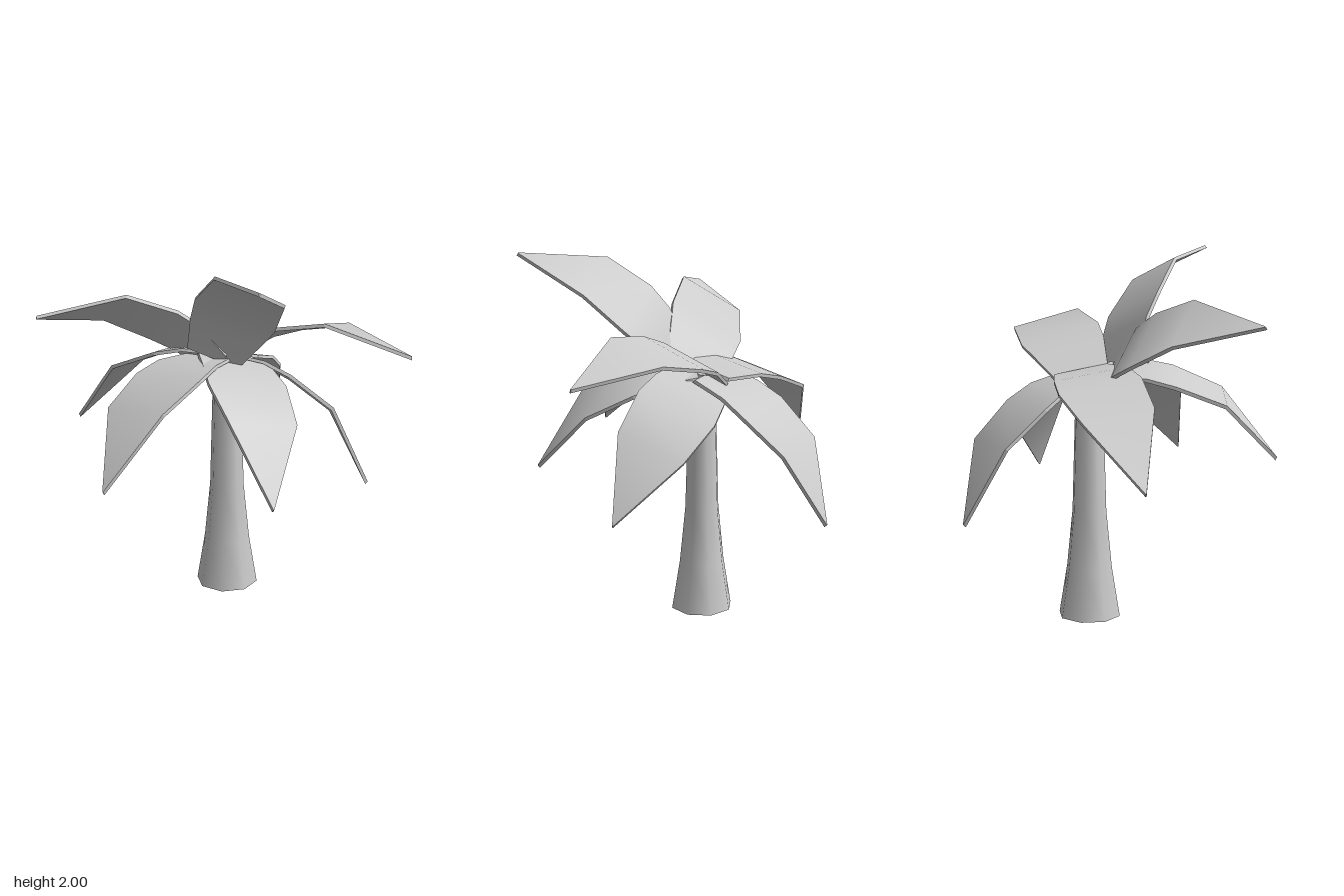
import * as THREE from 'three';
import { mergeGeometries } from 'three/addons/utils/BufferGeometryUtils.js';

const material = new THREE.MeshStandardMaterial({ color: 0xcccccc, side: THREE.DoubleSide });

// Leaf cross-sections: [distance along chord, bulge above chord, half width]
const SECTIONS = [
  [0, 0, 0.15], [0.183, 0.102, 0.205], [0.34, 0.142, 0.228], [0.631, 0.169, 0.195], [1.054, 0, 0.003],
];
const THICKNESS = 0.02;

// Each leaf: base centre, tip, direction across the blade
const LEAVES = [
  [[-0.04, 1.375, -0.145], [0.98, 1.48, 0.10], [0.12, -0.11, -0.42]],
  [[-0.09, 1.42, 0.07], [0.28, 2.0, 0.86], [0.37, -0.17, -0.075]],
  [[-0.09, 1.36, -0.01], [-0.98, 1.69, 0.39], [0.2, 0.22, 0.28]],
  [[-0.03, 1.37, -0.15], [-0.04, 0.61, -0.87], [1, 0, 0.05]],
  [[-0.035, 1.39, -0.15], [-0.96, 0.9, -0.30], [-0.09, 0.06, 0.37]],
  [[-0.12, 1.39, -0.04], [-0.54, 0.89, 0.81], [0.33, 0.04, 0.2]],
  [[-0.06, 1.39, -0.06], [0.34, 0.82, 0.73], [0.31, -0.06, -0.2]],
  [[-0.04, 1.37, -0.13], [0.76, 0.71, 0.0], [-0.05, -0.13, -0.36]],
];

function buildGeometry(points, index) {
  const geometry = new THREE.BufferGeometry().setFromPoints(points);
  geometry.setIndex(index);
  geometry.computeVertexNormals();
  return geometry;
}

// Thin curved blade: smooth top and bottom sheets joined by a flat rim
function leafGeometry(baseArr, tipArr, acrossArr) {
  const base = new THREE.Vector3(...baseArr);
  const along = new THREE.Vector3(...tipArr).sub(base);
  const scale = along.length() / 1.054;
  along.normalize();
  const across = new THREE.Vector3(...acrossArr);
  across.addScaledVector(along, -across.dot(along)).normalize();
  const up = along.clone().cross(across);
  if (up.y < 0) { up.negate(); across.negate(); }

  const sheet = (drop) => SECTIONS.flatMap(([s, b, h]) => [-h, h].map((w) => base.clone()
    .addScaledVector(along, s * scale)
    .addScaledVector(up, b * scale - drop)
    .addScaledVector(across, w)));
  const top = sheet(0), bottom = sheet(THICKNESS);

  const topIndex = [];
  for (let j = 0; j < SECTIONS.length - 1; j++) {
    const a = 2 * j;
    topIndex.push(a, a + 2, a + 3, a, a + 3, a + 1);
  }

  // Walk round the outline for the rim
  const loop = [];
  for (let j = 0; j < SECTIONS.length; j++) loop.push(2 * j);
  for (let j = SECTIONS.length - 1; j >= 0; j--) loop.push(2 * j + 1);
  const rim = [], rimIndex = [];
  loop.forEach((p, i) => {
    const q = loop[(i + 1) % loop.length], k = rim.length;
    rim.push(bottom[p], bottom[q], top[q], top[p]);
    rimIndex.push(k, k + 1, k + 2, k, k + 2, k + 3);
  });

  return mergeGeometries([
    buildGeometry(top, topIndex),
    buildGeometry(bottom, [...topIndex].reverse()),
    buildGeometry(rim, rimIndex),
  ].map((g) => g.toNonIndexed()));
}

export function createModel() {
  const model = new THREE.Group();
  model.name = 'palmTree';

  // Flared eight-sided trunk, open at the bottom
  const profile = [[0.175, 0], [0.129, 0.28], [0.097, 0.6], [0.075, 1.37]];
  const trunk = new THREE.Mesh(
    new THREE.LatheGeometry(profile.map(([r, y]) => new THREE.Vector2(r, y)), 8), material);
  trunk.name = 'trunk';
  trunk.position.set(-0.05, 0, -0.105);
  model.add(trunk);

  // Crown of leaves
  const crown = new THREE.Group();
  crown.name = 'crown';
  LEAVES.forEach((leaf, i) => {
    const mesh = new THREE.Mesh(leafGeometry(...leaf), material);
    mesh.name = `leaf${i + 1}`;
    crown.add(mesh);
  });
  model.add(crown);
  return model;
}
